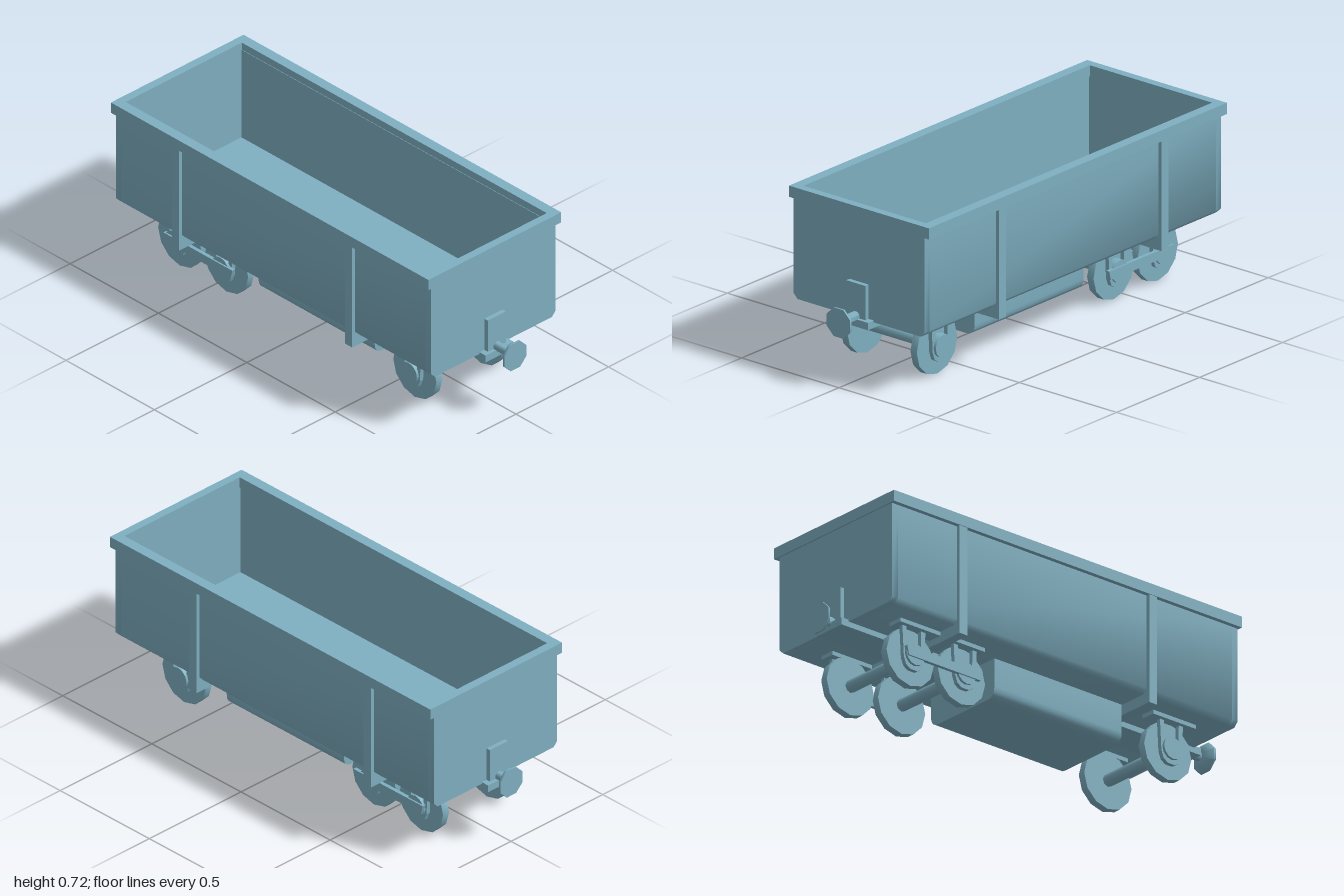
import * as THREE from 'three';
import { toCreasedNormals } from 'three/addons/utils/BufferGeometryUtils.js';

const ZC = 0.003; // running gear centre line
const BODY = { x0: -0.91, x1: 0.875, half: 0.336, floor: 0.255, top: 0.69 };
const material = new THREE.MeshStandardMaterial({ color: 0x7fb0c2 });

export function createModel() {
  const model = new THREE.Group();
  model.name = 'openWagon';

  const add = (name, geometry, x = 0, y = 0, z = 0, parent = model) => {
    const mesh = new THREE.Mesh(geometry, material);
    mesh.name = name;
    mesh.position.set(x, y, z);
    parent.add(mesh);
    return mesh;
  };
  // box given by its limits
  const box = (name, x0, x1, y0, y1, z0, z1, parent) =>
    add(name, new THREE.BoxGeometry(x1 - x0, y1 - y0, z1 - z0),
      (x0 + x1) / 2, (y0 + y1) / 2, (z0 + z1) / 2, parent);
  const shapeOf = (pts) => new THREE.Shape(pts.map((p) => new THREE.Vector2(...p)));
  // cross-section (z, y) swept along x, soft over shallow edges
  const sweep = (name, shape, x0, x1) => {
    const g = new THREE.ExtrudeGeometry(shape, { depth: x1 - x0, bevelEnabled: false, curveSegments: 4 });
    g.rotateY(Math.PI / 2);
    return add(name, toCreasedNormals(g, 0.9), x0, 0, ZC);
  };

  // hollow body: U-shaped trough closed by two end walls
  const { x0, x1, half, floor, top } = BODY;
  const c = 0.02, inner = 0.315;
  const lower = [[-half, floor + c], [-half + c, floor], [half - c, floor], [half, floor + c]];
  sweep('bodyTrough', shapeOf([[-half, top], ...lower, [half, top],
    [inner, top], [inner, floor + 0.03], [-inner, floor + 0.03], [-inner, top]]), x0 + 0.03, x1 - 0.03);
  const endShape = shapeOf([[-half, top], ...lower, [half, top]]);
  sweep('endWall', endShape, x0, x0 + 0.03);
  sweep('endWall', endShape, x1 - 0.03, x1);

  // rim round the top opening
  const rim = shapeOf([[-0.917, -0.359], [0.88, -0.359], [0.88, 0.359], [-0.917, 0.359]]);
  rim.holes.push(new THREE.Path([[-0.88, -0.314], [-0.88, 0.314], [0.845, 0.314], [0.845, -0.314]]
    .map((p) => new THREE.Vector2(...p))));
  const rimGeo = new THREE.ExtrudeGeometry(rim, { depth: 0.047, bevelEnabled: false });
  rimGeo.rotateX(-Math.PI / 2);
  add('rim', rimGeo, 0, 0.675, 0);

  // bands running down the sides and under the floor
  for (const x of [-0.575, 0.404]) {
    sweep('band', shapeOf([[-0.353, 0.69], [-0.353, 0.21], [0.353, 0.21], [0.353, 0.69],
      [0.327, 0.69], [0.327, 0.265], [-0.327, 0.265], [-0.327, 0.69]]), x, x + 0.041);
  }

  // tank slung under the floor, rounded along its lower edges
  const tank = new THREE.Shape();
  const w = 0.19, b = 0.09, r = 0.045;
  tank.moveTo(-w, 0.26);
  tank.lineTo(-w, b + r);
  tank.quadraticCurveTo(-w, b, -w + r, b);
  tank.lineTo(w - r, b);
  tank.quadraticCurveTo(w, b, w, b + r);
  tank.lineTo(w, 0.26);
  sweep('underTank', tank, -0.255, 0.402);

  // centre sill, end plates and buffers
  box('centreSill', -0.945, 0.91, 0.232, 0.263, ZC - 0.075, ZC + 0.075);
  for (const s of [-1, 1]) {
    const end = new THREE.Group();
    end.name = 'endFitting';
    end.position.set(-0.017, 0, ZC);
    end.scale.x = 1;
    model.add(end);
    const plate = box('endPlate', 0.87, 0.912, 0.24, 0.407, -0.049, 0.049, end);
    plate.position.x *= s;
    const buffer = new THREE.LatheGeometry([[0, 0], [0.02, 0], [0.02, 0.09], [0.032, 0.09],
      [0.065, 0.117], [0.065, 0.125], [0, 0.125]].map((p) => new THREE.Vector2(...p)), 8);
    buffer.rotateY(Math.PI / 8);
    const mesh = add('buffer', toCreasedNormals(buffer, 0.85), s * 0.875 + 0.017, 0.27, 0, end);
    mesh.rotation.z = -s * Math.PI / 2;
  }

  // U-shaped guard hanging round each axle box
  const guard = shapeOf([[-0.06, 0.245], [-0.052, 0.105], [-0.04, 0.074], [-0.018, 0.06],
    [0.018, 0.06], [0.04, 0.074], [0.052, 0.105], [0.06, 0.245],
    [0.038, 0.245], [0.034, 0.11], [0.024, 0.09], [0, 0.082], [-0.024, 0.09], [-0.034, 0.11], [-0.038, 0.245]]);
  const guardGeo = new THREE.ExtrudeGeometry(guard, { depth: 0.018, bevelEnabled: false });

  const disc = (radius, depth, sides) => {
    const g = new THREE.CylinderGeometry(radius, radius, depth, sides);
    g.rotateX(Math.PI / 2);
    return toCreasedNormals(g, 0.9);
  };
  const wheelGeo = disc(0.122, 0.033, 12);
  const hubGeo = disc(0.047, 0.036, 12);
  const axleGeo = disc(0.026, 0.34, 8);

  for (const x of [-0.695, -0.43, 0.635]) {
    const set = new THREE.Group();
    set.name = 'wheelSet';
    set.position.set(x, 0, ZC);
    model.add(set);
    add('axle', axleGeo, 0, 0.122, 0, set);
    for (const s of [-1, 1]) {
      add('wheel', wheelGeo, 0, 0.122, s * 0.179, set);
      add('axleBox', hubGeo, 0, 0.125, s * 0.211, set);
      add('axleGuard', guardGeo, 0, 0, s * 0.209 - 0.009, set);
    }
  }

  // bearer plates over the wheels and tie bars joining the paired wheels
  const bar = shapeOf([[-0.745, 0.148], [-0.735, 0.109], [-0.365, 0.109], [-0.355, 0.148]]);
  const barGeo = new THREE.ExtrudeGeometry(bar, { depth: 0.016, bevelEnabled: false });
  for (const s of [-1, 1]) {
    const z = ZC + s * 0.204;
    box('bearerPlate', -0.78, -0.345, 0.238, 0.258, z - 0.033, z + 0.033);
    box('bearerPlate', 0.525, 0.745, 0.238, 0.258, z - 0.033, z + 0.033);
    add('tieBar', barGeo, 0, 0, ZC + s * 0.228 - 0.008);
  }
  return model;
}
